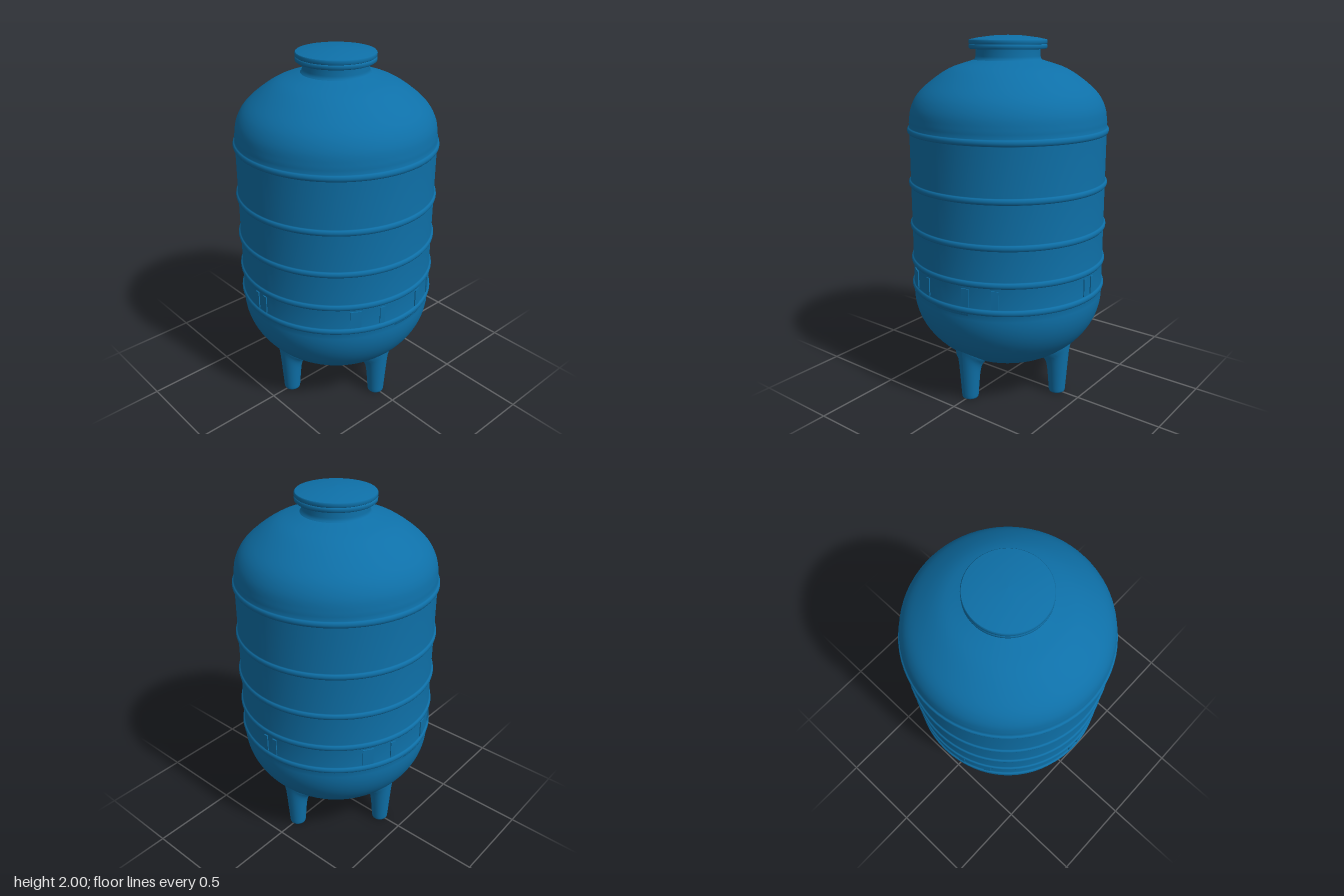
import * as THREE from 'three';

const R = 0.545;          // shell radius
const BOWL_TOP = 0.57, BOWL_DEPTH = 0.427;
const bowlY = r => BOWL_TOP - BOWL_DEPTH * Math.sqrt(Math.max(0, 1 - (r / R) ** 2));

export function createModel() {
  const group = new THREE.Group();
  const blue = new THREE.MeshStandardMaterial({ color: 0x0e70a8 });
  blue.name = 'tank blue';

  const add = (name, geometry, parent = group) => {
    const mesh = new THREE.Mesh(geometry, blue);
    mesh.name = name;
    parent.add(mesh);
    return mesh;
  };
  const lathe = (points, segments = 72) =>
    new THREE.LatheGeometry(points.map(p => new THREE.Vector2(...p)), segments);

  // Shell: rounded bowl, straight wall with half-round hoops, domed shoulder
  const shell = [];
  for (let i = 0; i <= 20; i++) {
    const a = (i / 20) * Math.PI / 2;
    shell.push([R * Math.sin(a), BOWL_TOP - BOWL_DEPTH * Math.cos(a)]);
  }
  for (const y of [0.62, 0.77, 0.97, 1.21, 1.5]) {
    for (let i = 0; i <= 6; i++) {
      const a = -Math.PI / 2 + (i / 6) * Math.PI;
      shell.push([R - 0.001 + 0.012 * Math.cos(a), y + 0.018 * Math.sin(a)]);
    }
  }
  const shoulder = new THREE.CatmullRomCurve3([
    [R, 1.54], [0.532, 1.62], [0.495, 1.69], [0.42, 1.76], [0.32, 1.825], [0.22, 1.86], [0.18, 1.872],
  ].map(([x, y]) => new THREE.Vector3(x, y, 0)));
  for (const p of shoulder.getPoints(24)) shell.push([p.x, p.y]);
  add('shell', lathe(shell));

  // Neck under the lid
  add('neck', lathe([[0.195, 1.862], [0.181, 1.875], [0.176, 1.89], [0.176, 1.935]]));

  // Lid: two stacked rims and a low crown
  add('lidRim', lathe([[0.17, 1.928], [0.206, 1.928], [0.213, 1.934], [0.213, 1.948], [0.208, 1.953]]));
  add('lidEdge', lathe([[0.208, 1.953], [0.213, 1.957], [0.213, 1.972], [0.209, 1.977]]));
  add('lidCrown', lathe([[0.209, 1.977], [0.16, 1.987], [0.08, 1.997], [0, 2]]));

  // Four tapered legs that flare where they meet the bowl
  const legProfile = [[0, 0], [0.038, 0], [0.045, 0.004], [0.047, 0.012]];
  for (let i = 1; i <= 20; i++) legProfile.push([0.047 + 0.025 * i / 20, 0.012 + 0.34 * i / 20]);
  const legGeometry = lathe(legProfile, 28);
  const pos = legGeometry.attributes.position;
  for (let i = 0; i < pos.count; i++) {
    const x = pos.getX(i), y = pos.getY(i), z = pos.getZ(i);
    const r = Math.hypot(x, z);
    if (r < 0.01) continue;
    const gap = Math.max(0, bowlY(Math.hypot(x, z + 0.356)) - y);
    const k = 1 + 0.028 * Math.exp(-gap / 0.025) * (z < 0 ? 1 : 1 - z / r) / r;
    pos.setXYZ(i, x * k, y, z * k);
  }
  legGeometry.computeVertexNormals();
  for (let i = 0; i < 4; i++) {
    const pivot = new THREE.Group();
    pivot.name = 'leg';
    pivot.rotation.y = i * Math.PI / 2;
    add('legPost', legGeometry, pivot).position.z = 0.356;
    group.add(pivot);
  }

  // Slim upright cleats between the two lowest hoops, repeated on the opposite side
  const cleats = [[-3.6, 0.025], [3.2, 0.025], [59, 0.06], [75, 0.03], [103, 0.04], [120, 0.04]];
  for (const turn of [0, 180]) {
    for (const [degrees, width] of cleats) {
      const a = THREE.MathUtils.degToRad(degrees + turn);
      const cleat = add('cleat', new THREE.BoxGeometry(width, 0.1, 0.009));
      cleat.position.set(Math.sin(a) * R, 0.69, Math.cos(a) * R);
      cleat.rotation.y = a;
    }
    // Short ledge under the lowest hoop
    const a = THREE.MathUtils.degToRad(94 + turn);
    const ledge = new THREE.CylinderGeometry(R + 0.006, R + 0.001, 0.012, 8, 1, true, a - 0.19, 0.38);
    add('ledge', ledge).position.y = 0.597;
  }
  return group;
}
